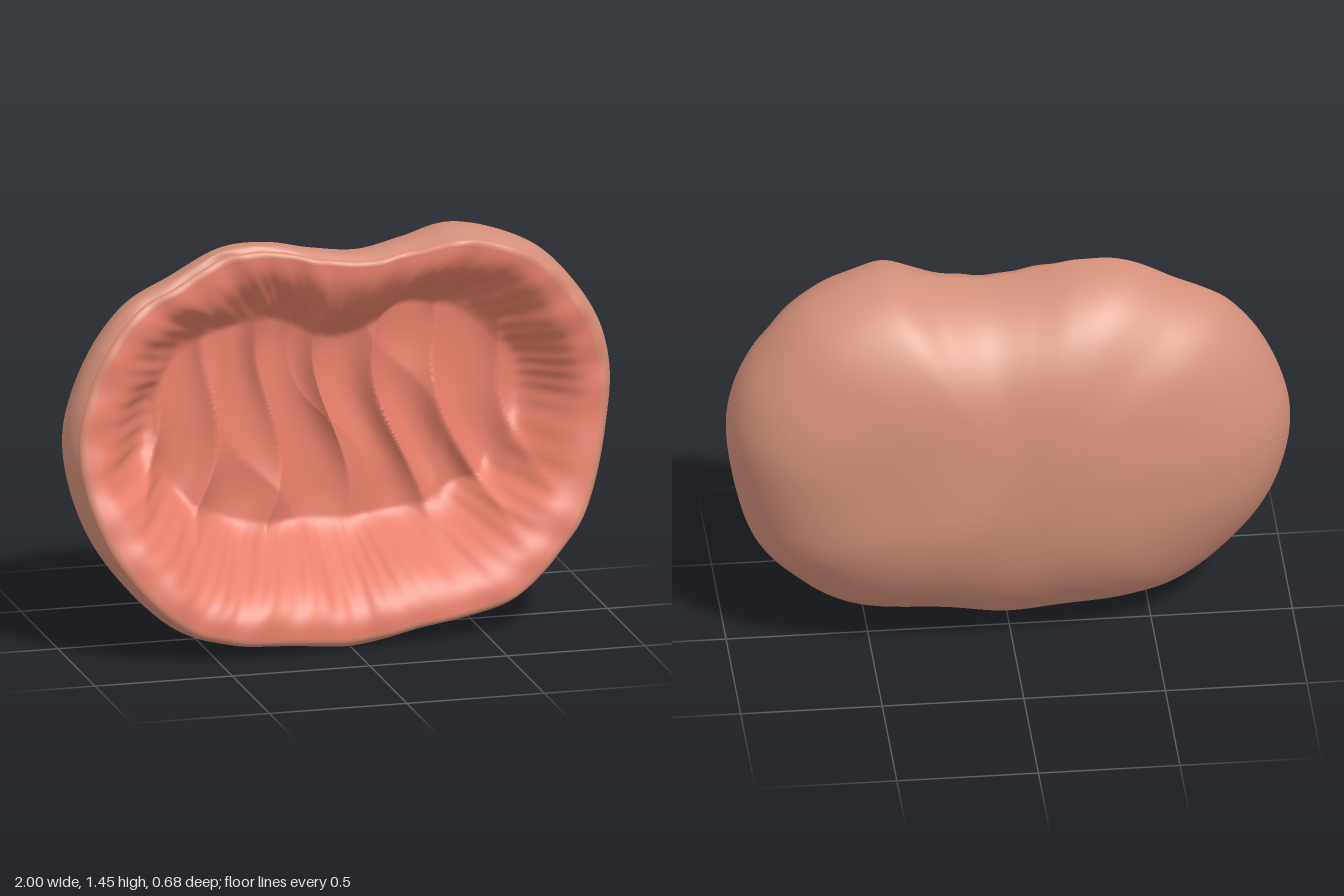
import * as THREE from 'three';
import { mergeVertices } from 'three/addons/utils/BufferGeometryUtils.js';

const CY = 0.75, AROUND = 400;

// Outline stations, counterclockwise: x, y, rim z, widest-point z, dome fullness, inner wall width
const stations = [
  [0.995, 0.8, 0.12, 0.02, 4, 0.3], [0.975, 1.02, 0.12, 0.02, 4, 0.3],
  [0.88, 1.2, 0.13, 0.02, 3.8, 0.32], [0.72, 1.36, 0.14, 0.02, 3.6, 0.36],
  [0.47, 1.448, 0.17, 0.03, 3.4, 0.42], [0.28, 1.415, 0.14, 0.05, 3.2, 0.5],
  [0.1, 1.385, 0.14, 0.07, 3, 0.54], [-0.08, 1.405, 0.14, 0.08, 3, 0.52],
  [-0.25, 1.438, 0.12, 0.08, 2.9, 0.48], [-0.42, 1.428, 0.11, 0.08, 2.8, 0.42],
  [-0.6, 1.34, 0.12, 0.08, 2.7, 0.38], [-0.78, 1.24, 0.14, 0.08, 2.6, 0.34],
  [-0.92, 1.05, 0.17, 0.08, 2.5, 0.32], [-0.998, 0.8, 0.2, 0.08, 2.5, 0.32],
  [-0.965, 0.55, 0.26, 0.1, 2.4, 0.34], [-0.86, 0.33, 0.32, 0.15, 2.3, 0.37],
  [-0.66, 0.12, 0.34, 0.2, 2.2, 0.44], [-0.45, 0.04, 0.33, 0.22, 2.2, 0.48],
  [-0.2, 0.015, 0.31, 0.22, 2.2, 0.5], [0.02, 0.0, 0.285, 0.22, 2.2, 0.5],
  [0.25, 0.04, 0.28, 0.2, 2.2, 0.48], [0.58, 0.1, 0.25, 0.16, 2.5, 0.46],
  [0.78, 0.25, 0.22, 0.1, 3, 0.42], [0.92, 0.45, 0.17, 0.05, 3.5, 0.34],
];
const curve = (k) => new THREE.CatmullRomCurve3(
  stations.map((s) => new THREE.Vector3(s[k], s[k + 1], s[k + 2])), true, 'catmullrom', 0.5);
const outline = curve(0), traits = curve(3);

const ring = Array.from({ length: AROUND }, (_, i) => {
  const u = i / AROUND, turn = u * Math.PI * 2, o = outline.getPoint(u), t = traits.getPoint(u);
  const wobble = 0.003 * Math.sin(turn * 31) + 0.003 * Math.sin(turn * 17 + 1);
  return { turn, x: o.x, y: o.y - CY, rim: o.z + wobble, mid: t.x, full: t.y, wall: t.z };
});

const at = (p, r, z) => [p.x * r, CY + p.y * r, z];
const bump = (d, w) => Math.exp(-((d / w) ** 2));
const smooth = THREE.MathUtils.smoothstep;
const CURL = 0.975, LIP = 0.945; // radius at the outer edge and crest of the lip
const ROUND = 0.018; // height of the lip's rounding

// Back dome
function dome(p, v) {
  const r = Math.sin(v * Math.PI / 2), x = p.x * r, y = p.y * r;
  const back = -0.338 - 0.022 * x + 0.02 * bump(x - 0.05, 0.22) * (0.6 + 0.5 * y)
    + 0.004 * Math.sin(x * 9 + y * 4) * Math.sin(y * 8 - x * 3);
  const depth = Math.sqrt(Math.max(0, 1 - r ** p.full));
  return at(p, r, p.mid + (back - p.mid) * depth);
}

// Side band from the widest line forward to the lip
function band(p, v) {
  return at(p, 1 - (1 - CURL) * v * v, p.mid + (p.rim - ROUND - p.mid) * v);
}

// Dome and side band share one surface so the skin stays smooth
const skin = (p, v) => (v <= 0.75 ? dome(p, v / 0.75) : band(p, (v - 0.75) / 0.25));

// Narrow lip, rounded over to its crest
function lip(p, v) {
  const a = Math.PI / 2 * v;
  return at(p, LIP + (CURL - LIP) * Math.cos(a), p.rim - ROUND + ROUND * Math.sin(a));
}

// Long upright creases on the floor, fanning to the right and fading near the bottom
function folds(x, y) {
  const crest = (a) => (1 - Math.abs(Math.sin(a))) ** 1.3;
  const a = x * 14 + y * 5 * (x + 0.3) + 0.6 * Math.sin(y * 8 + x * 3);
  const b = x * 10 + y * 3 + 0.8 * Math.sin(y * 6 - x * 4);
  const height = 0.06 * crest(a) * (0.7 + 0.3 * Math.sin(y * 7 + x * 6)) + 0.015 * crest(b);
  return (height - 0.02) * smooth(y, -0.55, -0.25);
}

// Lining: pleated shelf inside the lip, a wall that steepens, then the creased floor
function lining(p, v) {
  const k = Math.min(1, v / p.wall), drop = smooth(k ** 1.4, 0, 1);
  const pleat = 0.003 * Math.sin(p.turn * 73 + 2 * Math.sin(p.turn * 6))
    + 0.007 * Math.sin(p.turn * 23 + v * 8) + 0.012 * Math.sin(p.turn * 9 + 1);
  const r = LIP * (1 - v) + pleat * Math.sin(Math.PI * k);
  const x = p.x * r, y = p.y * r;
  const floor = -0.07 - 0.04 * y - 0.03 * x + folds(x, y)
    + 0.04 * bump(x - 0.02, 0.28) * bump(y - 0.42, 0.1);
  return at(p, r, p.rim + (floor - p.rim) * drop);
}

// Closed strip of rings; v runs from the back centre forward and then inward
function surface(name, material, rows, fn) {
  const pos = [], index = [];
  for (let j = 0; j <= rows; j++) for (const p of ring) pos.push(...fn(p, j / rows));
  for (let j = 0; j < rows; j++) for (let i = 0; i < AROUND; i++) {
    const n = (i + 1) % AROUND;
    const a = j * AROUND + i, b = j * AROUND + n, c = a + AROUND, d = b + AROUND;
    index.push(a, b, c, b, d, c);
  }
  let geometry = new THREE.BufferGeometry();
  geometry.setAttribute('position', new THREE.Float32BufferAttribute(pos, 3));
  geometry.setIndex(index);
  geometry = mergeVertices(geometry, 1e-5);
  geometry.computeVertexNormals();
  const mesh = new THREE.Mesh(geometry, material);
  mesh.name = name;
  return mesh;
}

export function createModel() {
  const paint = (name, color) => {
    const m = new THREE.MeshStandardMaterial({ color, side: THREE.DoubleSide });
    m.name = name;
    return m;
  };
  const tan = paint('tan skin', 0xd4907a);
  const blush = paint('blush lip', 0xdb8971);
  const pink = paint('pink lining', 0xe9806a);

  const model = new THREE.Group();
  model.name = 'hollowShell';
  model.add(
    surface('outerSkin', tan, 48, skin),
    surface('lip', blush, 6, lip),
    surface('innerLining', pink, 84, lining),
  );
  return model;
}
